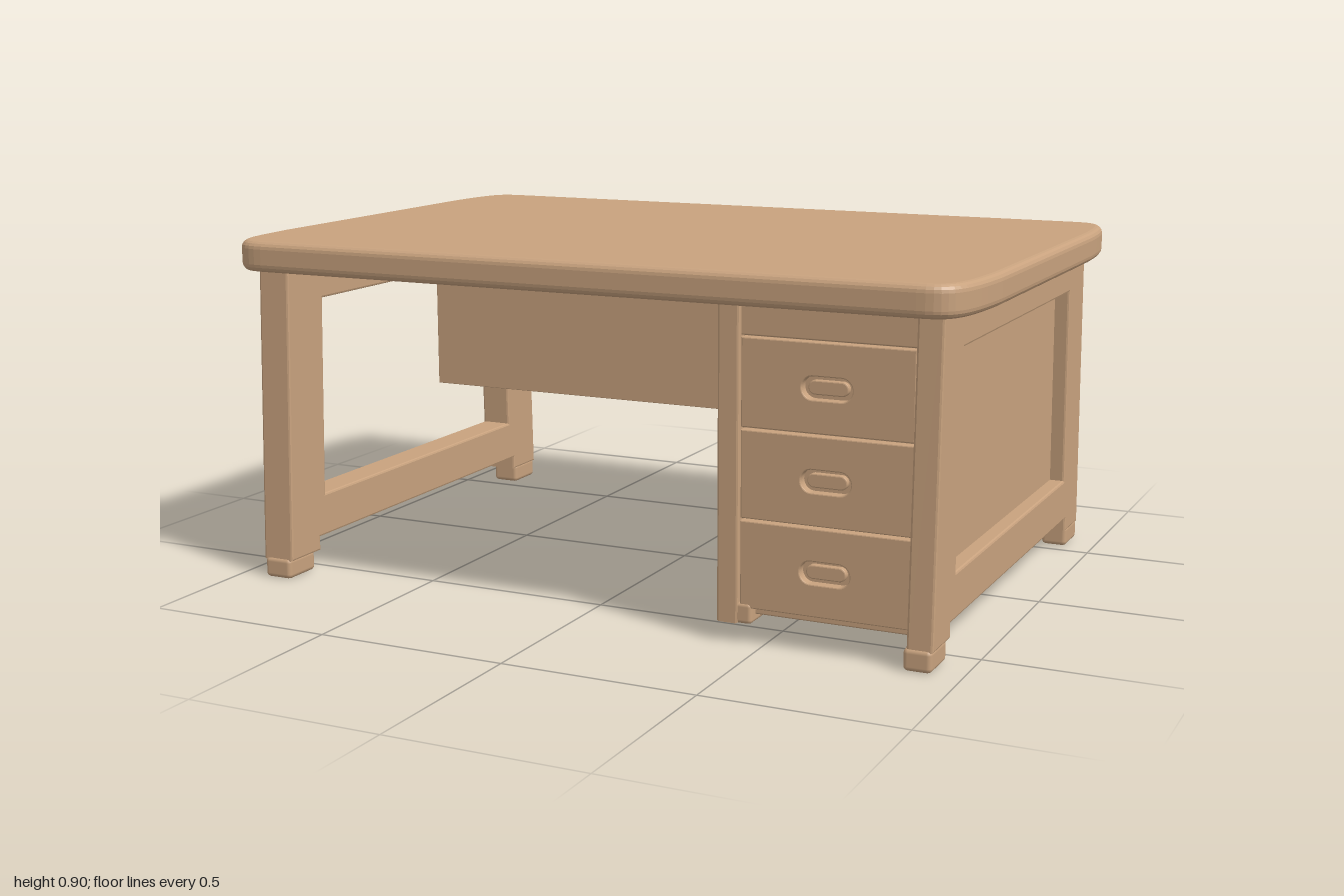
import * as THREE from 'three';
import { RoundedBoxGeometry } from 'three/addons/geometries/RoundedBoxGeometry.js';

export function createModel() {
  const desk = new THREE.Group();
  desk.name = 'desk';
  const wood = new THREE.MeshStandardMaterial({ color: 0xc8a27e });
  wood.name = 'light wood';

  const add = (name, geometry) => {
    const mesh = new THREE.Mesh(geometry, wood);
    mesh.name = name;
    desk.add(mesh);
    return mesh;
  };

  // Box given by its limits, with slightly rounded edges
  const block = (name, [x0, x1], [y0, y1], [z0, z1], r = 0.004) => {
    const g = new RoundedBoxGeometry(x1 - x0, y1 - y0, z1 - z0, 2, r);
    g.translate((x0 + x1) / 2, (y0 + y1) / 2, (z0 + z1) / 2);
    return add(name, g);
  };

  const extrude = (shape, depth, bevel, segments = 2) => {
    const g = new THREE.ExtrudeGeometry(shape, {
      depth: depth - 2 * bevel, bevelEnabled: true, bevelThickness: bevel,
      bevelSize: bevel, bevelOffset: -bevel, bevelSegments: segments, curveSegments: 12,
    });
    return g.translate(0, 0, bevel);
  };

  const polygon = (points, Type = THREE.Shape) =>
    new Type(points.map(([x, y]) => new THREE.Vector2(x, y)));

  // Mirrors the half profile of a side frame from front to back
  const mirrored = (half) => [...half, ...half.map(([z, y]) => [-z, y]).reverse()];

  // Desktop with soft corners: short along the front, long along the sides
  const top = new THREE.Shape();
  top.moveTo(0.88, -0.68);
  top.bezierCurveTo(0.97, -0.68, 0.99, -0.64, 1, -0.42);
  top.lineTo(1, 0.42);
  top.bezierCurveTo(0.99, 0.64, 0.97, 0.68, 0.88, 0.68);
  top.lineTo(-0.88, 0.68);
  top.bezierCurveTo(-0.97, 0.68, -0.99, 0.64, -1, 0.42);
  top.lineTo(-1, -0.42);
  top.bezierCurveTo(-0.99, -0.64, -0.97, -0.68, -0.88, -0.68);
  const topGeometry = extrude(top, 0.08, 0.02, 4);
  topGeometry.rotateX(-Math.PI / 2).translate(0, 0.82, 0);
  add('desktop', topGeometry);

  // Side frames: two legs joined by an upper and a lower rail
  const sideFrame = (name, x0, x1, topZ, footZ) => {
    const outline = polygon(mirrored([
      [0.52, 0.085], [0.52, 0.048], [footZ, 0.048], [topZ, 0.825],
    ]));
    outline.holes.push(polygon(mirrored([[0.49, 0.2], [0.472, 0.73]]), THREE.Path));
    const g = extrude(outline, x1 - x0, 0.006);
    g.rotateY(-Math.PI / 2).translate(x1, 0, 0);
    add(name, g);
  };
  sideFrame('rightFrame', -0.93, -0.84, 0.622, 0.65);
  sideFrame('leftFrame', 0.865, 0.93, 0.622, 0.65);
  sideFrame('cabinetInnerFrame', 0.38, 0.436, 0.63, 0.63);

  // Feet
  for (const s of [-1, 1]) {
    const z = s > 0 ? [0.54, 0.655] : [-0.655, -0.54];
    block('rightFoot', [-0.925, -0.845], [0, 0.055], z, 0.012);
    block('leftFoot', [0.858, 0.928], [0, 0.055], z, 0.012);
    const inner = s > 0 ? [0.525, 0.628] : [-0.628, -0.525];
    block('cabinetInnerFoot', [0.382, 0.47], [0.048, 0.1], inner, 0.01);
  }

  // Cabinet body
  block('cabinetBody', [0.4, 0.89], [0.068, 0.825], [-0.605, 0.6]);
  block('cabinetTopRail', [0.43, 0.87], [0.745, 0.825], [0.59, 0.617]);

  // Rounded slot outline for the drawer pulls
  const slot = (w, h, Type) => {
    const p = new Type();
    const a = (w - h) / 2, r = h / 2;
    p.moveTo(-a, -r);
    p.lineTo(a, -r);
    p.absarc(a, 0, r, -Math.PI / 2, Math.PI / 2, false);
    p.lineTo(-a, r);
    p.absarc(-a, 0, r, Math.PI / 2, Math.PI * 1.5, false);
    return p;
  };

  // Drawers, each with a recessed pull
  for (let i = 0; i < 3; i++) {
    const y = 0.195 + i * 0.22;
    const face = polygon([[-0.214, -0.107], [0.214, -0.107], [0.214, 0.107], [-0.214, 0.107]]);
    face.holes.push(slot(0.125, 0.055, THREE.Path));
    add('drawerFront', extrude(face, 0.03, 0.003)).position.set(0.653, y, 0.595);
    add('drawerPull', extrude(slot(0.1, 0.034, THREE.Shape), 0.018, 0.003))
      .position.set(0.653, y, 0.597);
  }

  // Two parallel privacy boards between the cabinet and the far frame
  for (const z of [-0.41, -0.2]) {
    block('privacyBoard', [-0.9, 0.41], [0.38, 0.72], [z - 0.014, z + 0.014], 0.002);
  }

  return desk;
}
